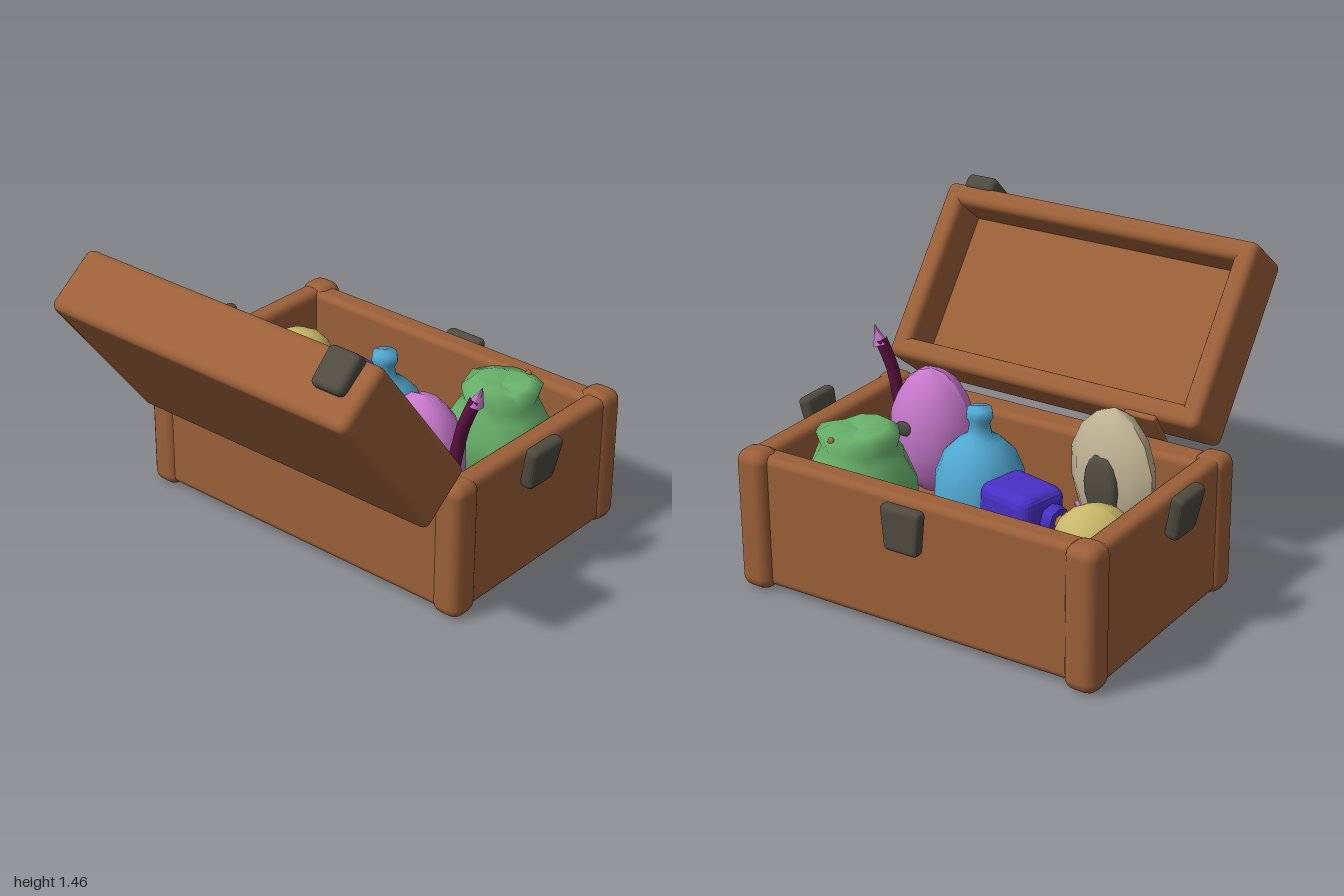
import * as THREE from 'three';
import { RoundedBoxGeometry } from 'three/addons/geometries/RoundedBoxGeometry.js';

const mat = (name, color, extra = {}) => {
  const m = new THREE.MeshStandardMaterial({ color, ...extra });
  m.name = name;
  return m;
};

export function createModel() {
  const wood = mat('brown wood', 0x9b6038);
  const metal = mat('dark metal', 0x4e4b40);
  const green = mat('green', 0x69b26b);
  const yellow = mat('yellow', 0xc8b768);
  const indigo = mat('indigo', 0x4930c6);
  const blue = mat('sky blue', 0x4fa6cf);
  const pink = mat('pink', 0xc677ca);
  const cream = mat('cream', 0xbfb293);
  const plum = mat('plum', 0x5a1040);
  const cork = mat('cork', 0xb4703c);

  const model = new THREE.Group();
  model.name = 'toyChest';

  const add = (parent, name, geo, material, pos, rot = [0, 0, 0], scale = [1, 1, 1]) => {
    const mesh = new THREE.Mesh(geo, material);
    mesh.name = name;
    mesh.position.set(...pos);
    mesh.rotation.set(...rot);
    mesh.scale.set(...scale);
    parent.add(mesh);
    return mesh;
  };
  const block = (parent, name, size, pos, r = 0.035, material = wood, rot) =>
    add(parent, name, new RoundedBoxGeometry(...size, 2, r), material, pos, rot);

  // Gives a shape a hand-made, slightly dented surface
  const dent = (geo, amount, seed = 0) => {
    const p = geo.attributes.position;
    for (let i = 0; i < p.count; i++) {
      const x = p.getX(i), y = p.getY(i), z = p.getZ(i);
      const k = 1 + amount * Math.sin(x * 17 + seed) * Math.cos(y * 13 + z * 19 + seed);
      p.setXYZ(i, x * k, y * k, z * k);
    }
    geo.computeVertexNormals();
    return geo;
  };
  const lathe = (points, sides) =>
    new THREE.LatheGeometry(points.map(([x, y]) => new THREE.Vector2(x, y)), sides);

  // Chest body
  const chest = new THREE.Group();
  chest.name = 'chest';
  model.add(chest);
  block(chest, 'chestFloor', [1.74, 0.18, 1.08], [0, 0.11, -0.33]);
  block(chest, 'frontWall', [1.74, 0.61, 0.15], [0, 0.325, 0.16]);
  block(chest, 'backWall', [1.74, 0.62, 0.12], [0, 0.33, -0.83]);
  for (const s of [-1, 1]) {
    block(chest, 'sideWall', [0.11, 0.63, 1.08], [s * 0.84, 0.33, -0.33]);
    block(chest, 'frontPost', [0.15, 0.65, 0.15], [s * 0.84, 0.325, 0.175], 0.05);
    block(chest, 'backPost', [0.16, 0.66, 0.15], [s * 0.83, 0.33, -0.855], 0.055);
  }

  // Open lid, hollow on its inner side
  const lid = new THREE.Group();
  lid.name = 'lid';
  lid.position.set(0.08, 0.985, 0.58);
  lid.rotation.x = 0.657;
  model.add(lid);
  block(lid, 'lidPanel', [1.6, 0.86, 0.11], [0, 0, 0.1]);
  for (const s of [-1, 1]) {
    block(lid, 'lidEnd', [1.62, 0.1, 0.31], [0, s * 0.39, 0]);
    block(lid, 'lidSide', [0.1, 0.88, 0.31], [s * 0.77, 0, 0]);
  }
  block(lid, 'lidLatch', [0.16, 0.08, 0.18], [0.66, 0.45, -0.06], 0.025, metal, [0.12, 0, 0]);
  block(model, 'hinge', [0.16, 0.2, 0.03], [-0.48, 0.67, 0.215], 0.01, wood, [-0.6, 0, 0]);

  // Metal plates, narrowing toward the bottom
  const plate = (name, pos, rot) => {
    const geo = new RoundedBoxGeometry(0.2, 0.21, 0.06, 2, 0.025);
    const p = geo.attributes.position;
    for (let i = 0; i < p.count; i++) {
      p.setX(i, p.getX(i) * (0.95 + p.getY(i)));
    }
    geo.computeVertexNormals();
    return add(model, name, geo, metal, pos, rot);
  };
  for (const s of [-1, 1]) {
    const holder = new THREE.Group();
    holder.name = 'sideHandle';
    const m = plate('sidePlate', [0, 0, 0], [0, Math.PI / 2, 0]);
    m.scale.z = 1.15;
    holder.add(m);
    holder.position.set(s * 0.943, 0.58, -0.27);
    holder.rotation.z = -s * 0.2;
    model.add(holder);
  }
  plate('backLatch', [0.01, 0.52, -0.935], [0, 0, 0]);

  // Things inside the chest
  const toys = new THREE.Group();
  toys.name = 'contents';
  model.add(toys);

  // Yellow ball
  add(toys, 'yellowBall', dent(new THREE.SphereGeometry(0.17, 14, 10), 0.04), yellow, [-0.63, 0.44, -0.47]);

  // Round flask with a plum and pink base
  add(toys, 'flaskBody', lathe([[0.205, 0.39], [0.2, 0.5], [0.16, 0.6], [0.1, 0.66], [0.055, 0.69],
    [0.045, 0.74], [0.06, 0.77], [0.055, 0.81], [0, 0.82]], 16), blue, [0.07, 0, -0.27]);
  add(toys, 'flaskBase', lathe([[0, 0.19], [0.13, 0.19], [0.19, 0.28], [0.205, 0.39]], 16), pink, [0.07, 0, -0.27]);

  // Lying square bottle with its cork
  const bottle = new THREE.Group();
  bottle.name = 'squareBottle';
  bottle.position.set(-0.25, 0.43, -0.41);
  bottle.rotation.y = -0.22;
  toys.add(bottle);
  add(bottle, 'bottleBody', dent(new RoundedBoxGeometry(0.3, 0.3, 0.25, 2, 0.05), 0.05, 1), indigo, [0.02, 0, 0]);
  add(bottle, 'bottleNeck', new THREE.CylinderGeometry(0.06, 0.08, 0.1, 8), indigo, [-0.13, 0.03, 0.03], [0, 0, Math.PI / 2]);
  add(bottle, 'bottleCork', new THREE.CylinderGeometry(0.035, 0.03, 0.06, 8), cork, [-0.195, 0.03, 0.03], [0, 0, Math.PI / 2]);

  // Green pouch with a flared mouth and a small bead
  add(toys, 'greenPouch', dent(lathe([[0, 0.19], [0.19, 0.2], [0.255, 0.36], [0.25, 0.48], [0.2, 0.59],
    [0.165, 0.63], [0.185, 0.69], [0.13, 0.72], [0, 0.7]], 11), 0.03, 2), green, [0.52, 0, -0.54]);
  add(toys, 'pouchBead', new THREE.SphereGeometry(0.016, 6, 5), cork, [0.55, 0.7, -0.7]);

  // Pink dome with a dark eye
  add(toys, 'pinkDome', dent(new THREE.SphereGeometry(1, 12, 10), 0.02, 3), pink,
    [0.47, 0.53, -0.05], [0, 0, 0], [0.21, 0.3, 0.17]);
  add(toys, 'domeEye', new THREE.SphereGeometry(0.045, 8, 6), metal,
    [0.52, 0.58, -0.21], [0, 0, 0], [1, 0.8, 0.3]);

  // Plum rod with a pink tip
  const rod = new THREE.CatmullRomCurve3([[0.63, 0.2, 0.01], [0.68, 0.65, -0.03], [0.71, 0.78, -0.03],
    [0.755, 0.91, -0.05]].map((v) => new THREE.Vector3(...v)));
  add(toys, 'rod', new THREE.TubeGeometry(rod, 10, 0.03, 7), plum, [0, 0, 0]);
  add(toys, 'rodTip', new THREE.ConeGeometry(0.036, 0.1, 6), pink, [0.77, 0.93, -0.05], [0, 0, -0.35]);

  // Cream shell with a dark hollow and a pink foot
  const shell = new THREE.Group();
  shell.name = 'creamShell';
  shell.position.set(-0.48, 0.55, -0.055);
  shell.rotation.y = -0.32;
  toys.add(shell);
  add(shell, 'shellBody', dent(new THREE.SphereGeometry(1, 9, 7), 0.04, 4), cream,
    [0, 0, 0], [0, 0, 0], [0.25, 0.31, 0.125]);
  add(shell, 'shellHollow', new THREE.SphereGeometry(1, 10, 8), metal,
    [-0.03, -0.02, -0.1], [0, 0, 0], [0.11, 0.15, 0.035]);
  add(shell, 'shellFoot', new THREE.CylinderGeometry(0.2, 0.17, 0.16, 9), pink,
    [0, -0.27, 0], [0, 0, 0], [1.1, 1, 0.6]);

  return model;
}
